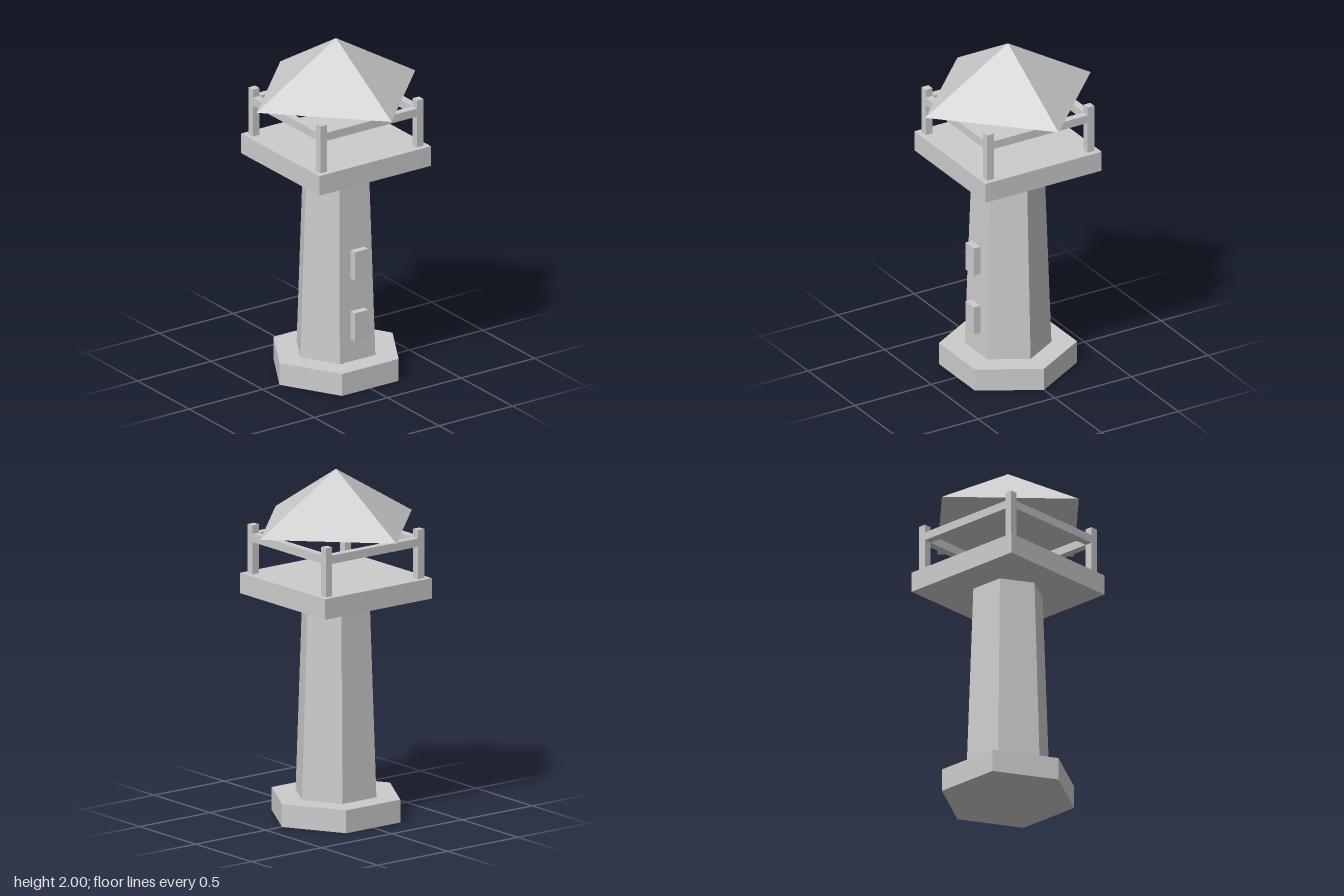
import * as THREE from 'three';

export function createModel() {
  const model = new THREE.Group();
  model.name = 'watchtower';
  const stone = new THREE.MeshStandardMaterial({ color: 0xcccccc });
  stone.name = 'light grey';
  stone.flatShading = true;

  const add = (name, geometry, x, y, z) => {
    const mesh = new THREE.Mesh(geometry, stone);
    mesh.name = name;
    mesh.position.set(x, y, z);
    model.add(mesh);
  };
  // Box given by its size, centre x/z and its bottom and top heights
  const box = (name, w, d, x, z, y0, y1) =>
    add(name, new THREE.BoxGeometry(w, y1 - y0, d), x, (y0 + y1) / 2, z);
  // Tapered prism; turn is the angle of its first corner from +z
  const prism = (name, rTop, rBottom, y0, y1, sides, turn) =>
    add(name, new THREE.CylinderGeometry(rTop, rBottom, y1 - y0, sides, 1, false, turn), 0, (y0 + y1) / 2, 0);

  // Hexagonal foot and tapering shaft, flat sides to the front and back
  prism('base', 0.385, 0.385, 0, 0.132, 6, Math.PI / 6);
  prism('shaft', 0.202, 0.242, 0.132, 1.268, 6, Math.PI / 6);

  // Two raised windows on the front
  box('lowerWindow', 0.09, 0.042, 0, 0.228, 0.265, 0.434);
  box('upperWindow', 0.09, 0.042, 0, 0.228, 0.632, 0.802);

  // Lookout platform with corner posts and rails
  box('platform', 0.76, 0.76, 0, 0, 1.268, 1.386);
  const edge = 0.328, thick = 0.044, span = 2 * edge - thick;
  for (const s of [-1, 1]) {
    for (const t of [-1, 1]) box('post', thick, thick, s * edge, t * edge, 1.386, 1.668);
    box('sideRail', thick, span, s * edge, 0, 1.572, 1.62);
    box('crossRail', span, thick, 0, s * edge, 1.572, 1.62);
  }

  // Four-sided roof with its corners on the axes
  add('roof', new THREE.ConeGeometry(0.54, 0.323, 4), 0, 1.8385, 0);
  return model;
}
